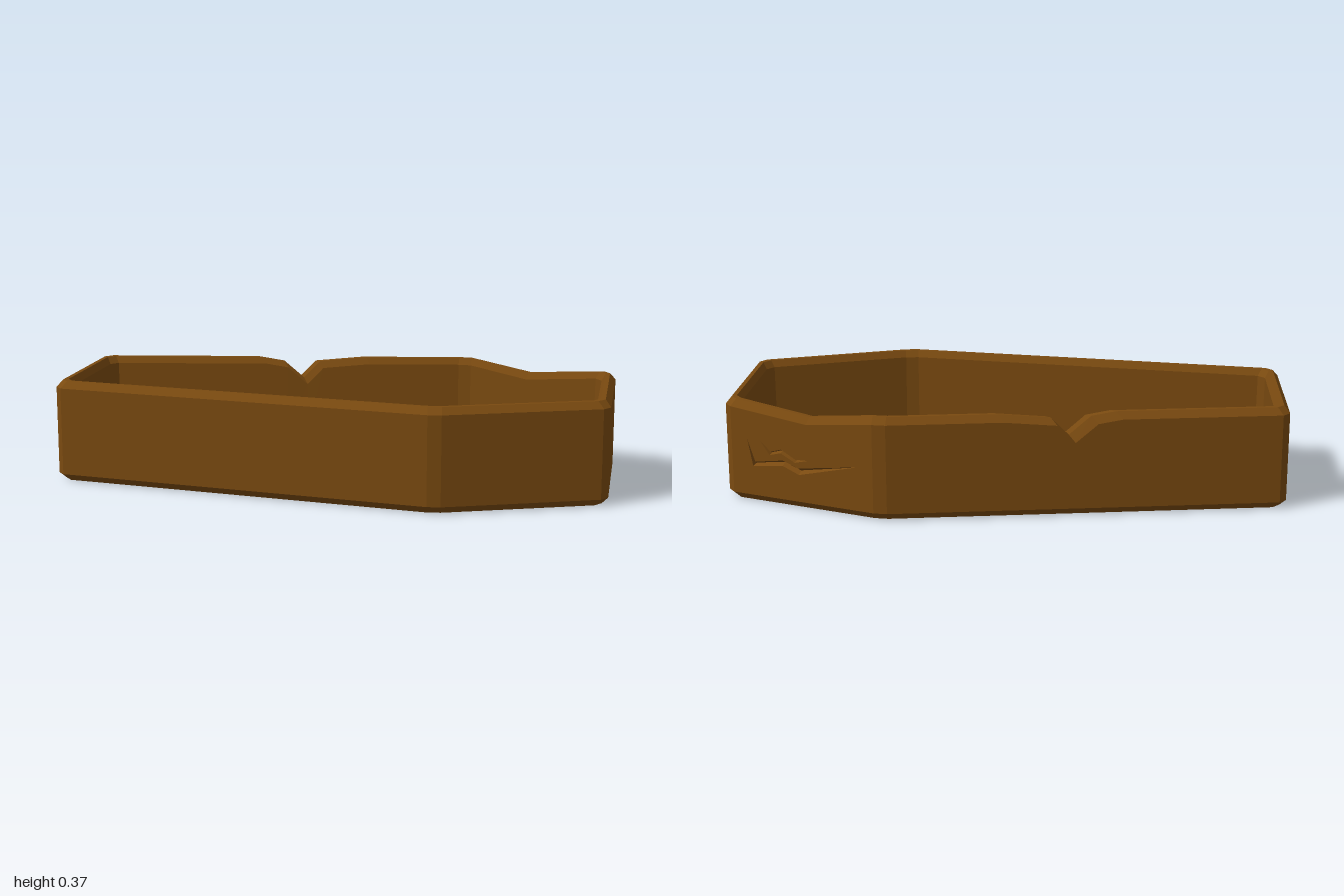
import * as THREE from 'three';

const wood = new THREE.MeshStandardMaterial({ color: 0x7a4a10 });
wood.name = 'brown wood';

// Six-sided plan (x, z), starting at the back of the narrow end
const PLAN = [[-1, -0.285], [0.42, -0.505], [1, -0.285], [1, 0.285], [0.42, 0.505], [-1, 0.285]]
  .map(([x, z]) => new THREE.Vector2(x, z));
const CHAMFER = 0.025;

// Damage along the rim: edge index -> [position along edge, drop]
const DAMAGE = {
  0: [[0.41, 0], [0.47, 0.014], [0.525, 0.08], [0.57, 0.016], [0.70, 0]],
  1: [[0.46, 0.032]],
};

// Wall cross-section: [inset, height, follows rim damage]
const PROFILE = [
  [0.022, 0, 0], [0, 0.025, 0],                     // lower bevel
  [0, 0.345, 1], [0.02, 0.37, 1],                   // outer wall and bevel
  [0.036, 0.37, 1], [0.05, 0.345, 1],               // rim and inner bevel
  [0.053, 0.08, 0], [0.068, 0.06, 0],               // inner wall down to floor
];

function insetPlan(d) {
  return PLAN.map((p, i) => {
    const a = p.clone().sub(PLAN[(i + 5) % 6]).normalize();
    const b = PLAN[(i + 1) % 6].clone().sub(p).normalize();
    const na = new THREE.Vector2(-a.y, a.x), nb = new THREE.Vector2(-b.y, b.x);
    return p.clone().addScaledVector(na.clone().add(nb), d / (1 + na.dot(nb)));
  });
}

// One closed loop of points around the box
function ring([inset, y, damaged]) {
  const corners = insetPlan(inset), out = [];
  corners.forEach((p, i) => {
    const q = corners[(i + 1) % 6];
    const c = CHAMFER / p.distanceTo(q);
    const stops = [[c, 0], ...(DAMAGE[i] || []), [1 - c, 0]];
    stops.forEach(([t, drop], k) => {
      const inner = k > 0 && k < stops.length - 1;
      const s = t + (inner && i === 0 ? inset * 0.6 : 0);
      const v = p.clone().lerp(q, s);
      out.push(new THREE.Vector3(v.x, y - damaged * drop, v.y));
    });
  });
  return out;
}

function facetMesh(name, points) {
  const g = new THREE.BufferGeometry().setFromPoints(points);
  g.computeVertexNormals();
  const m = new THREE.Mesh(g, wood);
  m.name = name;
  return m;
}

// Band of facets between two loops
function band(name, lo, hi, skip = () => false) {
  const pts = [];
  lo.forEach((a, i) => {
    if (skip(i)) return;
    const j = (i + 1) % lo.length;
    pts.push(a, hi[i], lo[j], lo[j], hi[i], hi[j]);
  });
  return facetMesh(name, pts);
}

function cap(name, loop, faceUp) {
  const c = new THREE.Vector3(0, loop[0].y, 0), pts = [];
  loop.forEach((a, i) => {
    const b = loop[(i + 1) % loop.length];
    pts.push(c, ...(faceUp ? [b, a] : [a, b]));
  });
  return facetMesh(name, pts);
}

// Cracks in the slanted back panel: [z, y, half width]
const CRACKS = [
  [[-0.317, 0.232, 0], [-0.326, 0.142, 0.010], [-0.368, 0.160, 0.010], [-0.391, 0.137, 0.012], [-0.475, 0.185, 0]],
  [[-0.335, 0.235, 0], [-0.350, 0.190, 0.007], [-0.366, 0.203, 0.007], [-0.386, 0.174, 0.006], [-0.405, 0.182, 0]],
];

function crackedPanel(lo, hi) {
  const group = new THREE.Group();
  group.name = 'crackedPanel';
  const dir = new THREE.Vector3(PLAN[1].x - PLAN[2].x, 0, PLAN[1].y - PLAN[2].y);
  const length = dir.length();
  dir.normalize();
  const up = new THREE.Vector3(0, 1, 0);
  const origin = new THREE.Vector3(PLAN[2].x, 0, PLAN[2].y);
  const frame = new THREE.Matrix4().makeBasis(dir, up, dir.clone().cross(up)).setPosition(origin);
  const flat = v => new THREE.Vector2(v.clone().sub(origin).dot(dir), v.y);
  const shape = new THREE.Shape([...lo, ...hi.slice().reverse()].map(flat));

  CRACKS.forEach(crack => {
    const mid = crack.map(([z, y]) =>
      new THREE.Vector2((PLAN[2].y - z) / (PLAN[2].y - PLAN[1].y) * length, y));
    const side = sign => mid.map((p, i) => {
      const d = mid[Math.min(i + 1, mid.length - 1)].clone().sub(mid[Math.max(i - 1, 0)]).normalize();
      return p.clone().add(new THREE.Vector2(-d.y, d.x).multiplyScalar(sign * crack[i][2]));
    });
    const left = side(1), right = side(-1), pts = [];
    shape.holes.push(new THREE.Path([...right, ...left.slice(1, -1).reverse()]));
    // V-shaped groove behind the opening
    const at = (list, i, z) => new THREE.Vector3(list[i].x, list[i].y, z);
    const deep = i => (crack[i][2] > 0 ? -0.018 : 0);
    for (let i = 0; i < mid.length - 1; i++) {
      const m0 = at(mid, i, deep(i)), m1 = at(mid, i + 1, deep(i + 1));
      const r0 = at(right, i, 0), r1 = at(right, i + 1, 0);
      const l0 = at(left, i, 0), l1 = at(left, i + 1, 0);
      pts.push(r0, r1, m1, r0, m1, m0, m0, m1, l1, m0, l1, l0);
    }
    const groove = facetMesh('crackGroove', pts);
    groove.geometry.applyMatrix4(frame);
    group.add(groove);
  });

  const panel = new THREE.Mesh(new THREE.ShapeGeometry(shape).applyMatrix4(frame), wood);
  panel.name = 'panel';
  group.add(panel);
  return group;
}

export function createModel() {
  const model = new THREE.Group();
  model.name = 'openCoffin';
  const rings = PROFILE.map(ring);
  const names = ['lowerBevel', 'outerWall', 'outerRimBevel', 'rim', 'innerRimBevel', 'innerWall', 'floorBevel'];
  const first = 2 + DAMAGE[0].length, last = first + 1 + DAMAGE[1].length;

  names.forEach((name, k) => {
    const skip = i => k === 1 && i >= first && i < last;
    model.add(band(name, rings[k], rings[k + 1], skip));
  });
  model.add(crackedPanel(
    [rings[1][last], rings[1][first]],
    rings[2].slice(first, last + 1).reverse()));
  model.add(cap('underside', rings[0], false));
  model.add(cap('floor', rings[rings.length - 1], true));
  return model;
}
